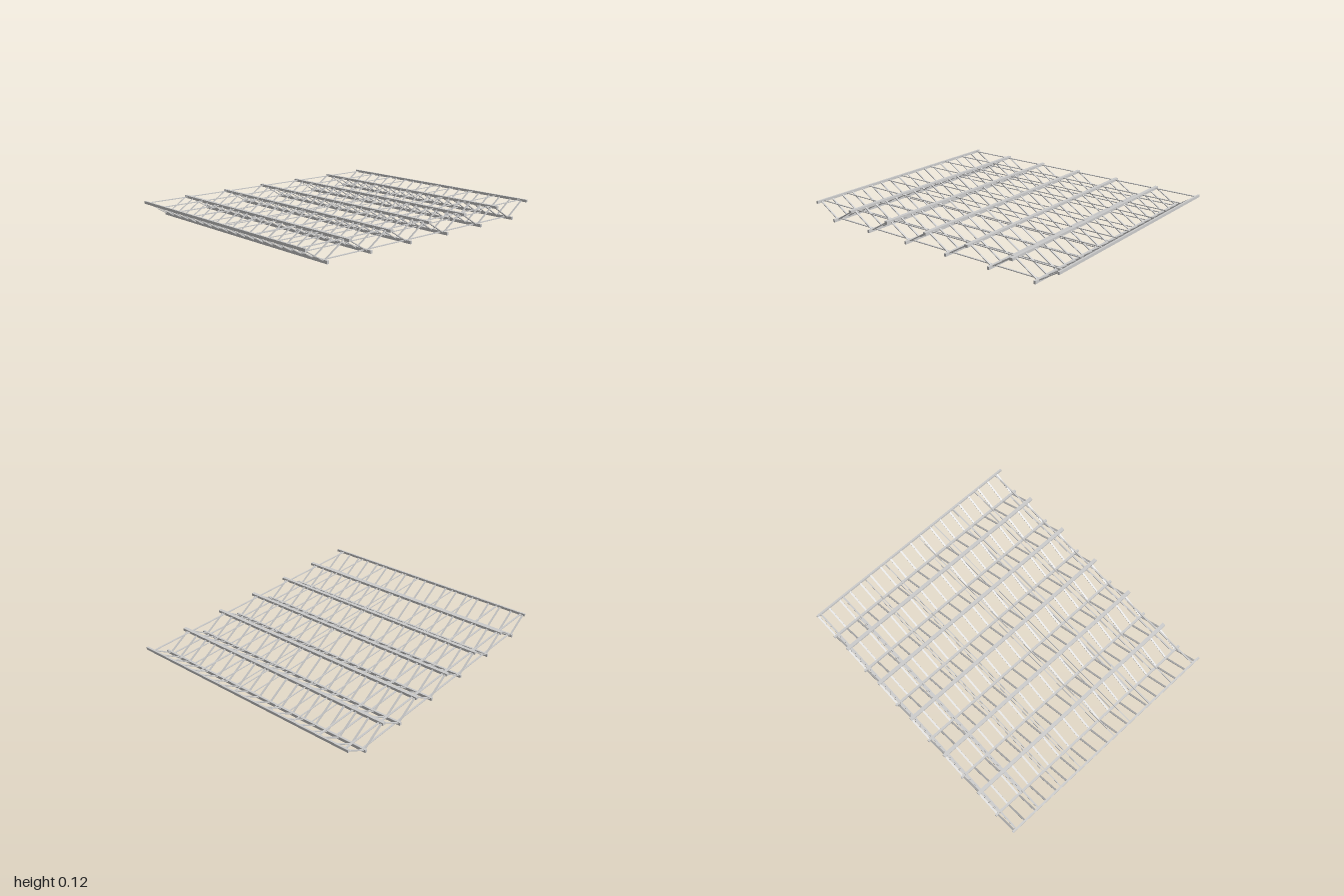
import * as THREE from 'three';

const material = new THREE.MeshStandardMaterial({ color: 0xcccccc });

const BAYS = 6;               // V-shaped truss bays across the width
const PITCH = 2 / BAYS;
const LENGTH = 1.72;          // chord length along z
const TOP_Y = 0.108;
const BOTTOM_Y = 0.01;

function add(parent, name, geometry, x, y, z) {
  const mesh = new THREE.Mesh(geometry, material);
  mesh.name = name;
  mesh.position.set(x, y, z);
  parent.add(mesh);
  return mesh;
}

// Flat bar from a to b, its broad side lying along z
function strut(parent, name, geometry, a, b) {
  const mesh = add(parent, name, geometry, 0, 0, 0);
  mesh.position.copy(a).add(b).multiplyScalar(0.5);
  const dir = b.clone().sub(a);
  mesh.scale.x = dir.length();
  mesh.quaternion.setFromUnitVectors(new THREE.Vector3(1, 0, 0), dir.normalize());
}

export function createModel() {
  const model = new THREE.Group();
  model.name = 'trussDeck';

  // Upper chords: full width between bays, half width at both ends
  const topChord = new THREE.BoxGeometry(0.024, 0.018, LENGTH);
  const edgeChord = new THREE.BoxGeometry(0.013, 0.018, LENGTH);
  for (let i = 1; i < BAYS; i++) add(model, 'topChord', topChord, -1 + i * PITCH, TOP_Y, 0);
  for (const s of [-1, 1]) add(model, 'edgeChord', edgeChord, s * 0.9935, TOP_Y, 0);

  const bottomChord = new THREE.BoxGeometry(0.015, 0.02, LENGTH);
  const webBar = new THREE.BoxGeometry(1, 0.005, 0.012);

  for (let i = 0; i < BAYS; i++) {
    const bay = new THREE.Group();
    bay.name = 'trussBay';
    model.add(bay);
    const xMid = -1 + (i + 0.5) * PITCH;
    const half = PITCH / 2 - 0.007;
    add(bay, 'bottomChord', bottomChord, xMid, BOTTOM_Y, 0);

    // Slightly skewed V diagonals
    for (let k = 0; k < 19; k++) {
      const z = 0.82 - k * 0.0926;
      const apex = new THREE.Vector3(xMid, BOTTOM_Y, z + 0.003);
      for (const [s, dz] of [[-1, 0.002], [1, -0.005]]) {
        const top = new THREE.Vector3(xMid + s * half, TOP_Y, z + dz);
        strut(bay, 'diagonal', webBar, top, apex);
      }
    }
  }

  // Cross ties joining the chords: [z, width]
  const ties = [
    [-0.829, 0.012], [-0.635, 0.012], [-0.435, 0.007], [-0.257, 0.007], [0.053, 0.006],
    [0.198, 0.006], [0.383, 0.011], [0.595, 0.008], [0.8, 0.011],
  ];
  for (const [z, w] of ties) {
    add(model, 'topTie', new THREE.BoxGeometry(1.985, 0.005, w), 0, TOP_Y, z);
    add(model, 'bottomTie', new THREE.BoxGeometry(2 - PITCH, 0.005, w), 0, 0.012, z);
  }
  return model;
}
